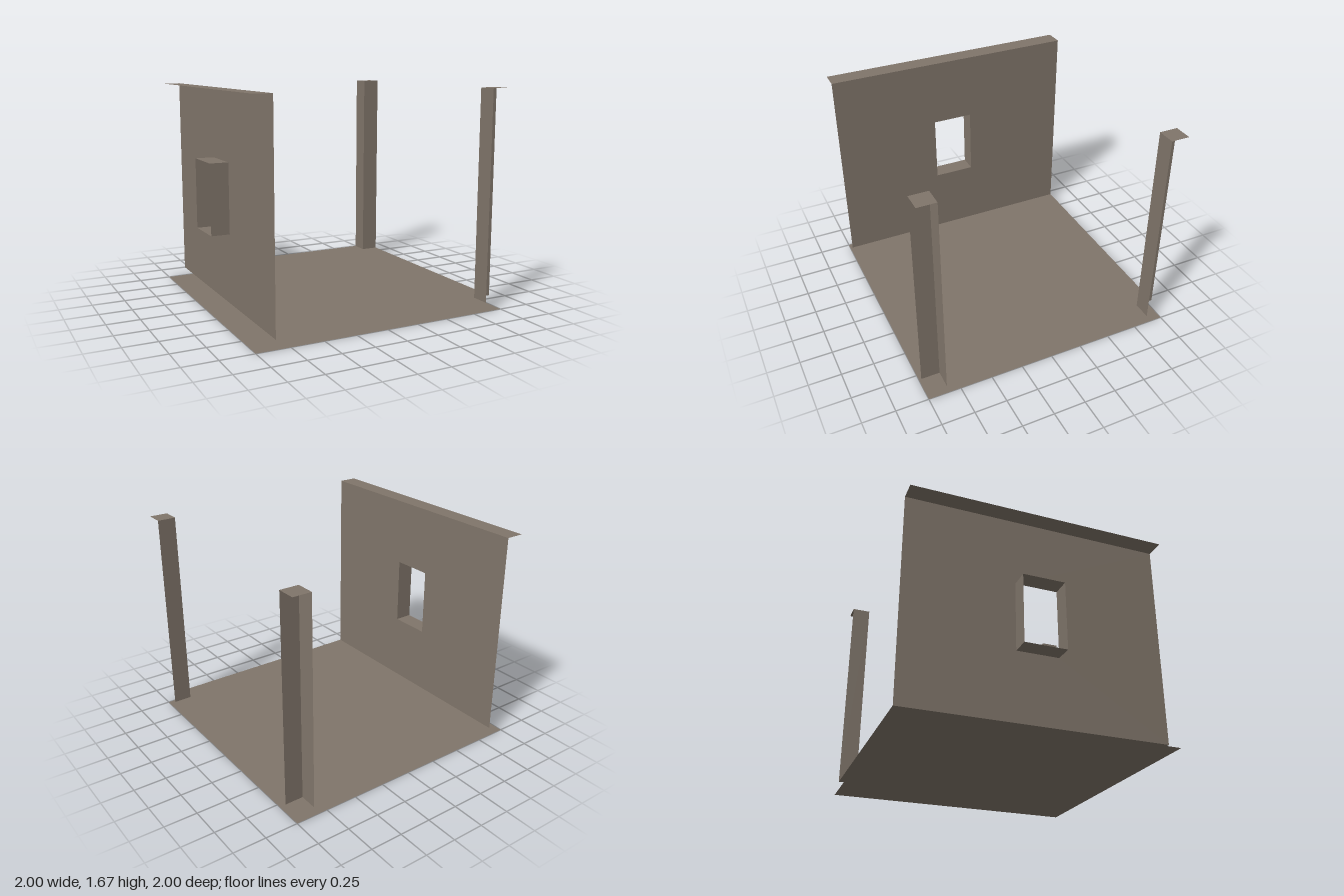
import * as THREE from 'three';

const E = 1;          // outer half size
const I = 0.858;      // inner line of wall and posts
const FLOOR = 0.07;   // floor surface height
const TOP = 1.67;     // top of wall and posts
const WIN = { z0: -0.16, z1: 0.165, y0: 0.604, y1: 1.138 };

const stone = new THREE.MeshStandardMaterial({ color: 0x80756a, side: THREE.DoubleSide });
stone.name = 'warm grey stone';

function add(parent, name, geometry) {
  const mesh = new THREE.Mesh(geometry, stone);
  mesh.name = name;
  parent.add(mesh);
}

function polygon(points) {
  return new THREE.Shape(points.map(([x, y]) => new THREE.Vector2(x, y)));
}

const rect = (a0, b0, a1, b1) => polygon([[a0, b0], [a1, b0], [a1, b1], [a0, b1]]);

// Open sheets: horizontal from (x, -z), facing x from (z, y), facing z from (x, y)
const flat = (shape, y) => new THREE.ShapeGeometry(shape).rotateX(-Math.PI / 2).translate(0, y, 0);
const across = (shape, x) => new THREE.ShapeGeometry(shape).rotateY(-Math.PI / 2).translate(x, 0, 0);
const facing = (shape, z) => new THREE.ShapeGeometry(shape).translate(0, 0, z);

export function createModel() {
  const model = new THREE.Group();
  model.name = 'openRoom';

  // Floor: full underside and an upper sheet notched around the posts
  add(model, 'floorUnderside', flat(rect(-E, -E, E, E), 0));
  add(model, 'floorSurface', flat(polygon([
    [-I, -E], [I, -E], [I, -I], [E, -I], [E, I], [I, I], [I, E], [-I, E],
  ]), FLOOR));

  // Wall: inner sheet with window opening, and its top strip
  const wall = new THREE.Group();
  wall.name = 'windowWall';
  model.add(wall);
  const wallShape = rect(-E, FLOOR, E, TOP);
  wallShape.holes.push(rect(WIN.z0, WIN.y0, WIN.z1, WIN.y1));
  add(wall, 'wallFace', across(wallShape, -I));
  add(wall, 'wallTop', flat(rect(-E, -E, -I, E), TOP));

  // Window reveal: sill, head and two jambs
  for (const [name, y] of [['windowSill', WIN.y0], ['windowHead', WIN.y1]]) {
    add(wall, name, flat(rect(-E, -WIN.z1, -I, -WIN.z0), y));
  }
  for (const [name, z] of [['windowBackJamb', WIN.z0], ['windowFrontJamb', WIN.z1]]) {
    add(wall, name, facing(rect(-E, WIN.y0, -I, WIN.y1), z));
  }

  // Corner posts: two inner faces and a cap each
  for (const [name, s] of [['frontPost', 1], ['backPost', -1]]) {
    const post = new THREE.Group();
    post.name = name;
    model.add(post);
    const lo = Math.min(s * I, s * E), hi = Math.max(s * I, s * E);
    add(post, 'postInnerSide', across(rect(lo, FLOOR, hi, TOP), I));
    add(post, 'postInnerFace', facing(rect(I, FLOOR, E, TOP), s * I));
    add(post, 'postCap', flat(rect(I, -hi, E, -lo), TOP));
  }
  return model;
}
